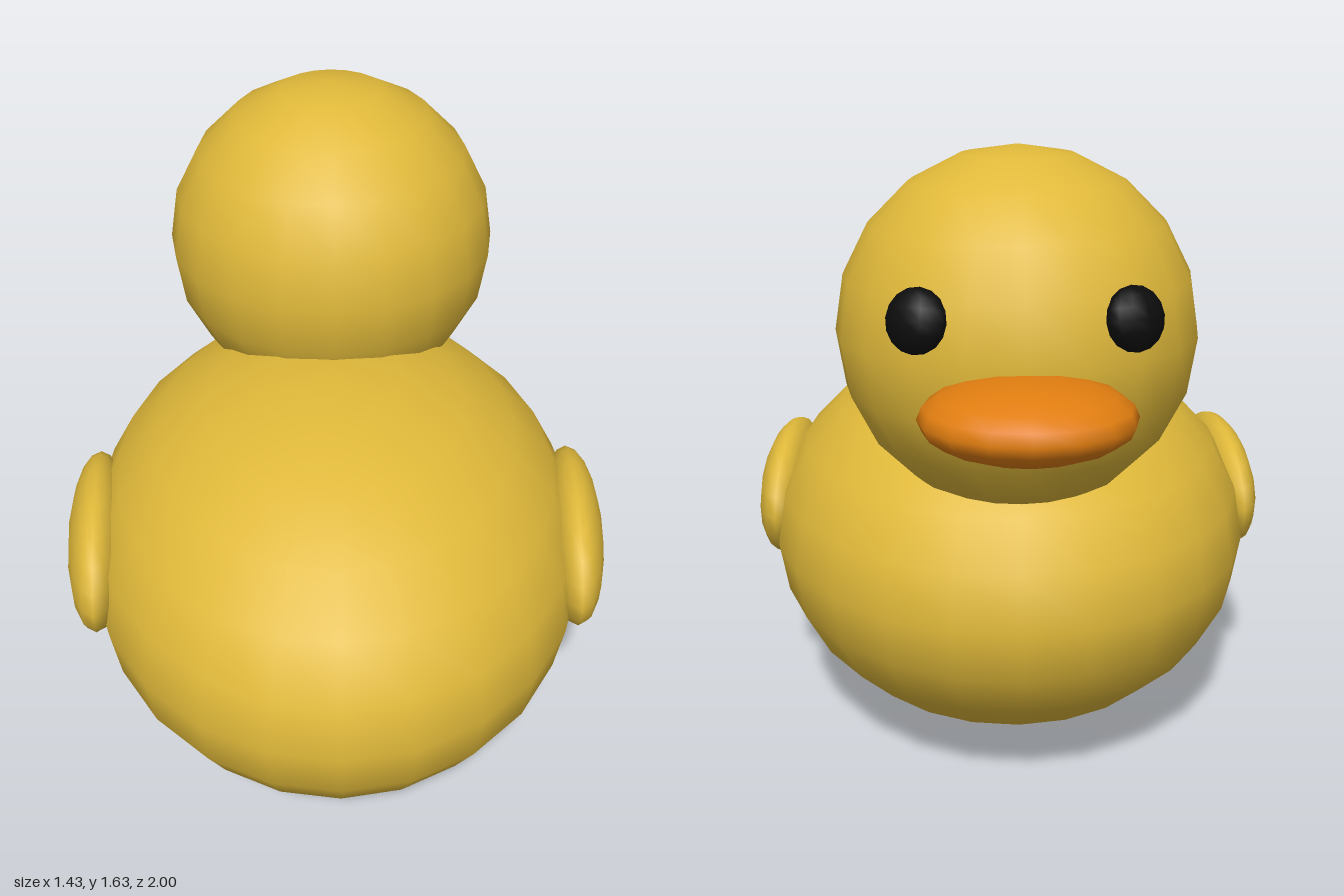
import * as THREE from 'three';

const paint = (name, color) => {
  const material = new THREE.MeshStandardMaterial({ color });
  material.name = name;
  return material;
};

// Smooth ellipsoid from centre, radii and segment counts
function ellipsoid(name, material, centre, radii, around, high) {
  const geometry = new THREE.SphereGeometry(1, around, high);
  geometry.scale(...radii);
  const mesh = new THREE.Mesh(geometry, material);
  mesh.name = name;
  mesh.position.set(...centre);
  return mesh;
}

export function createModel() {
  const yellow = paint('yellow', 0xe0b93a);
  const orange = paint('orange', 0xe07d10);
  const black = paint('black', 0x0c0c0c);

  const duck = new THREE.Group();
  duck.name = 'duck';

  // Body, head and flattened beak; the beak points towards -z
  const headCentre = [0, 1.195, -0.318];
  duck.add(
    ellipsoid('body', yellow, [0, 0.525, 0.165], [0.667, 0.52, 0.833], 24, 12),
    ellipsoid('head', yellow, headCentre, [0.445, 0.445, 0.445], 20, 10),
    ellipsoid('beak', orange, [0, 1.1, -0.78], [0.243, 0.09, 0.22], 16, 10),
  );

  for (const side of [1, -1]) {
    const label = side > 0 ? 'left' : 'right';

    // Wings, turned slightly to follow the body
    const wing = ellipsoid(label + 'Wing', yellow, [side * 0.635, 0.595, 0.275], [0.08, 0.182, 0.307], 16, 10);
    wing.rotation.set(0, -side * 0.07, side * 0.05);
    duck.add(wing);

    // Eyes, flattened along the direction away from the head centre
    const eye = ellipsoid(label + 'Eye', black, [side * 0.24, 1.295, -0.683], [0.075, 0.075, 0.05], 12, 8);
    eye.lookAt(...headCentre);
    duck.add(eye);
  }
  return duck;
}
